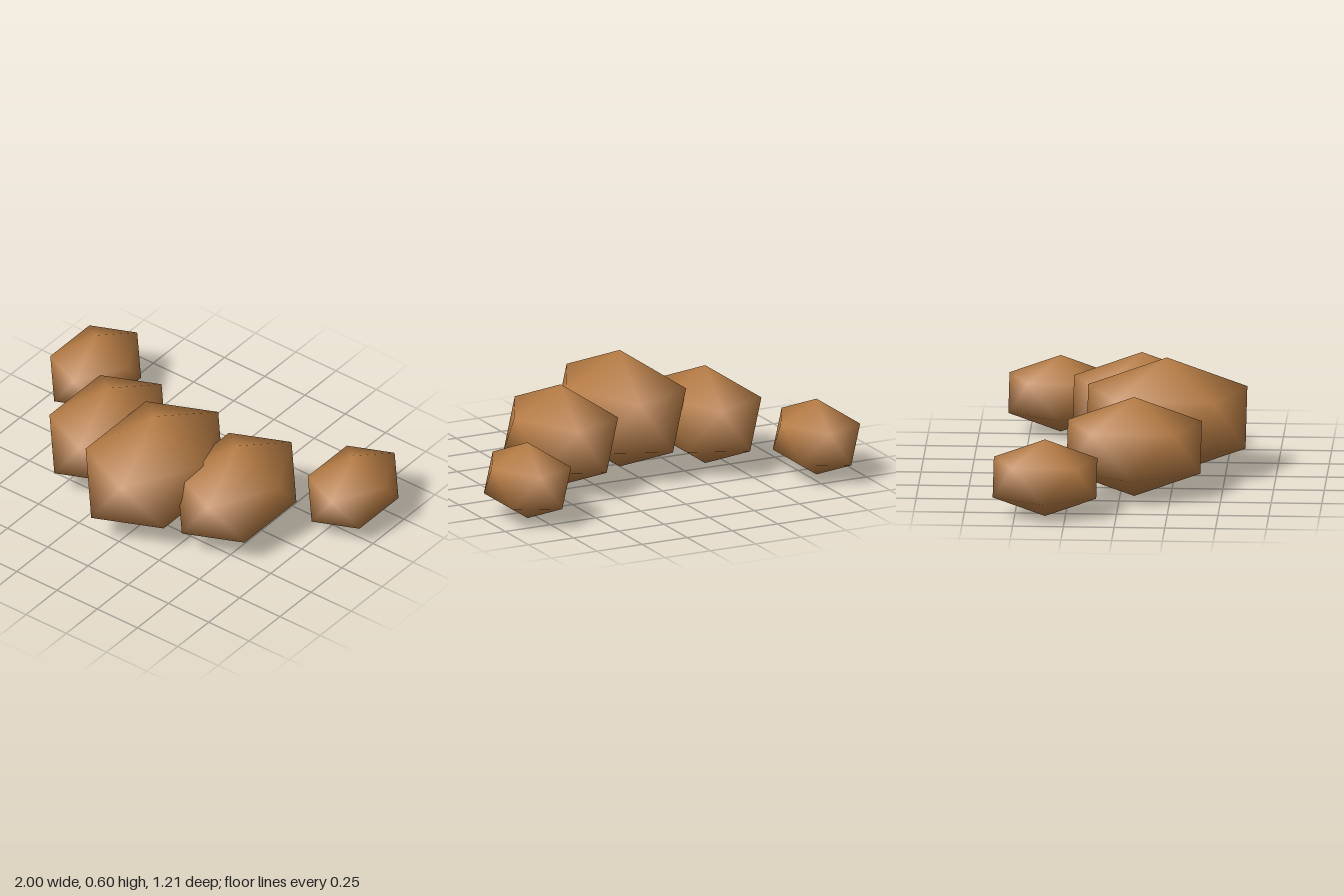
import * as THREE from 'three';

const brown = new THREE.MeshStandardMaterial({ color: 0xb87d45 });
brown.name = 'warm brown';

// Smooth-shaded icosahedron standing on a pole, stretched to radii rx, ry, rz
function lumpGeometry(rx, ry, rz) {
  const points = [0, ry, 0];
  const h = 1 / Math.sqrt(5), r = 2 * h;
  for (const level of [1, -1]) {
    for (let i = 0; i < 5; i++) {
      const a = (i + (level < 0 ? 0.5 : 0)) * Math.PI * 0.4;
      points.push(rx * r * Math.cos(a), ry * h * level, rz * r * Math.sin(a));
    }
  }
  points.push(0, -ry, 0);
  const index = [];
  for (let i = 0; i < 5; i++) {
    const n = (i + 1) % 5;
    const u = 1 + i, un = 1 + n, l = 6 + i, ln = 6 + n;
    index.push(0, un, u, u, un, l, un, ln, l, 11, l, ln);
  }
  const g = new THREE.BufferGeometry();
  g.setAttribute('position', new THREE.Float32BufferAttribute(points, 3));
  g.setIndex(index);
  g.computeVertexNormals();
  return g;
}

export function createModel() {
  const group = new THREE.Group();
  group.name = 'lumpArc';

  // Five lumps in an arc, largest at the front: name, x, z, radii
  const lumps = [
    ['centreLump', 0, 0.212, 0.335, 0.3, 0.461],
    ['leftInnerLump', 0.4, 0.07, 0.29, 0.259, 0.398],
    ['rightInnerLump', -0.4, 0.07, 0.285, 0.252, 0.388],
    ['leftOuterLump', 0.8, -0.35, 0.222, 0.195, 0.3],
    ['rightOuterLump', -0.8, -0.35, 0.222, 0.195, 0.3],
  ];
  for (const [name, x, z, rx, ry, rz] of lumps) {
    const lump = new THREE.Mesh(lumpGeometry(rx, ry, rz), brown);
    lump.name = name;
    lump.position.set(x, ry, z);
    group.add(lump);
  }
  return group;
}
